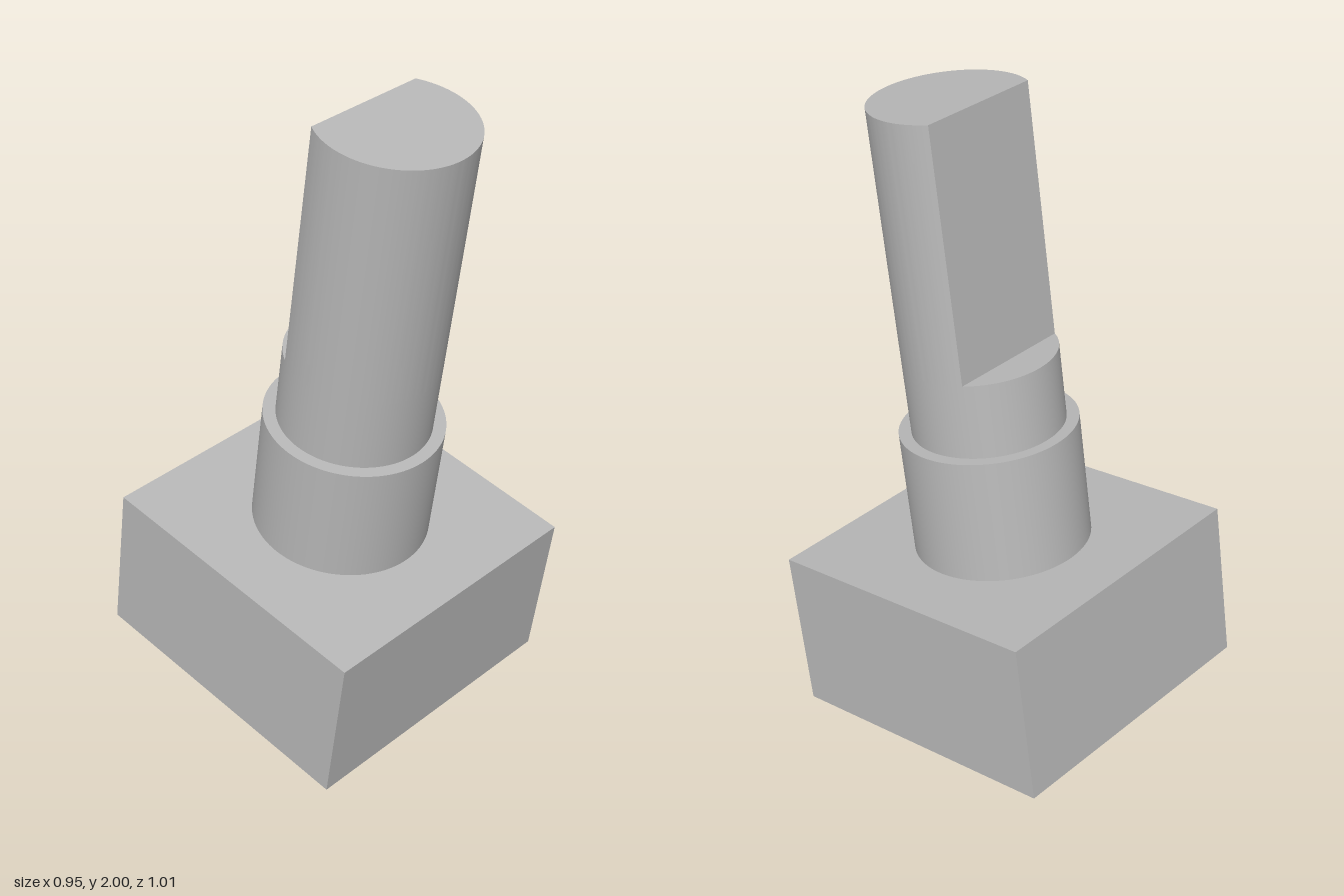
import * as THREE from 'three';
import { toCreasedNormals } from 'three/addons/utils/BufferGeometryUtils.js';

export function createModel() {
  const grey = new THREE.MeshStandardMaterial({ color: 0xb8b8b8 });
  grey.name = 'plain grey';

  const model = new THREE.Group();
  model.name = 'steppedShaftOnBlock';

  // Everything shares one axis that leans towards the front
  const leaning = new THREE.Group();
  leaning.name = 'leaningAssembly';
  leaning.position.set(0, 0.0675, -0.035);
  leaning.rotation.x = THREE.MathUtils.degToRad(8.15);
  model.add(leaning);

  const add = (name, geometry, y) => {
    const mesh = new THREE.Mesh(geometry, grey);
    mesh.name = name;
    mesh.position.y = y;
    leaning.add(mesh);
  };
  const addCylinder = (name, radius, bottom, top) =>
    add(name, new THREE.CylinderGeometry(radius, radius, top - bottom, 96), (bottom + top) / 2);

  // Heights along the axis
  const blockTop = 0.513, collarTop = 0.909, stepTop = 1.145, shaftTop = 1.935;
  const shaftRadius = 0.236;

  add('baseBlock', new THREE.BoxGeometry(0.946, blockTop, 0.95), blockTop / 2);
  addCylinder('collar', 0.275, blockTop, collarTop);
  addCylinder('lowerShaft', shaftRadius, collarTop, stepTop);

  // Upper shaft: D-shaped section with its flat facing the back
  const flatAngle = Math.PI / 6;
  const section = new THREE.Shape();
  section.absarc(0, 0, shaftRadius, Math.PI - flatAngle, 2 * Math.PI + flatAngle, false);
  section.closePath();
  const upperShaft = new THREE.ExtrudeGeometry(section, {
    depth: shaftTop - stepTop, bevelEnabled: false, curveSegments: 64,
  });
  upperShaft.rotateX(-Math.PI / 2);
  add('flattenedShaft', toCreasedNormals(upperShaft, Math.PI / 6), stepTop);

  return model;
}
